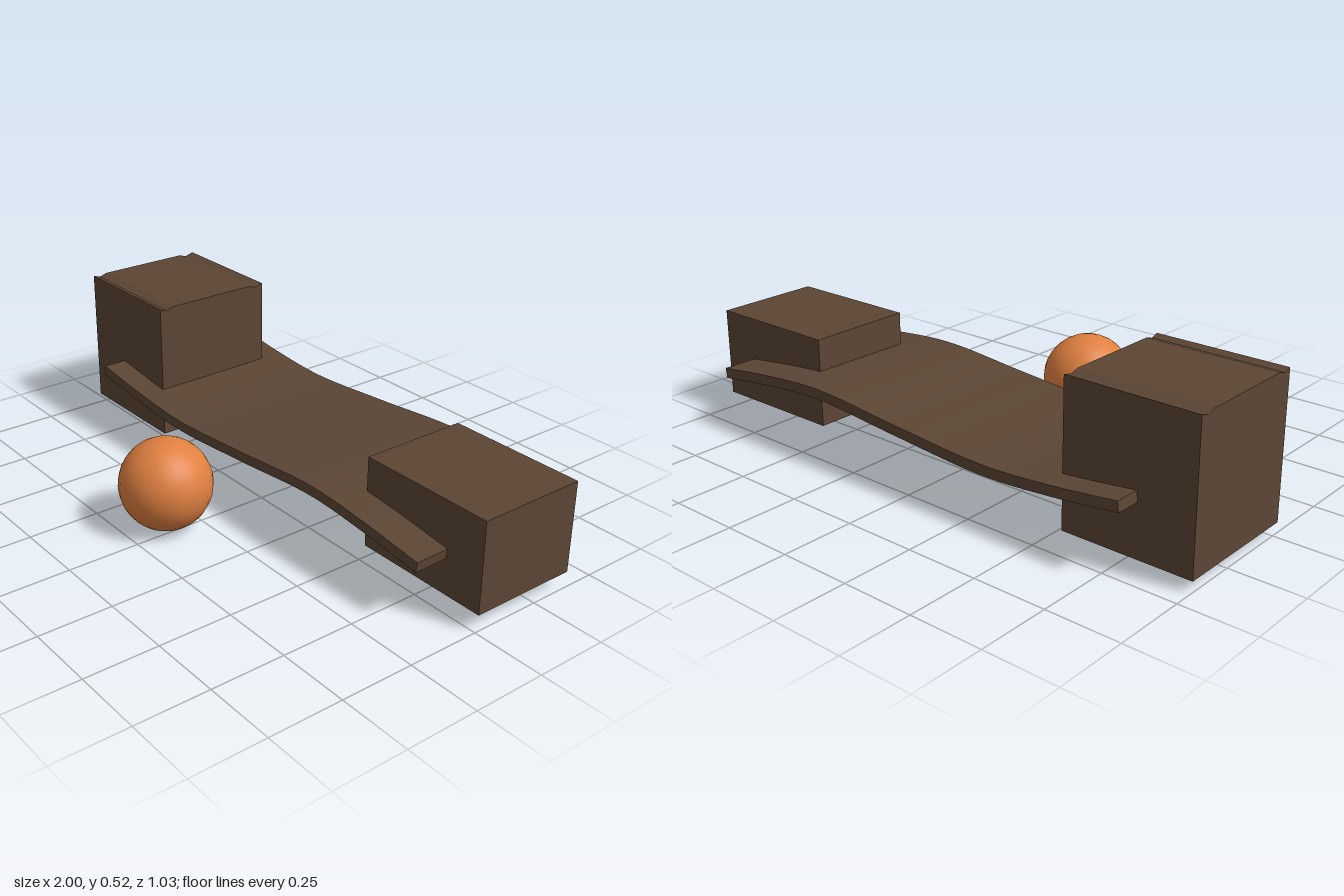
import * as THREE from 'three';

const wood = new THREE.MeshStandardMaterial({ color: 0x5c4635 });
wood.name = 'darkWood';
const orange = new THREE.MeshStandardMaterial({ color: 0xe08040 });
orange.name = 'orange';

function add(group, name, geometry, material, x = 0, y = 0, z = 0) {
  const mesh = new THREE.Mesh(geometry, material);
  mesh.name = name;
  mesh.position.set(x, y, z);
  group.add(mesh);
  return mesh;
}

// Box bent along an S-curve, ends cut square to the curve
function bentPlank() {
  const x0 = -0.81, x1 = 0.86, depth = 0.625, thick = 0.035;
  const curve = new THREE.CatmullRomCurve3([
    [x0, 0.224], [-0.57, 0.197], [-0.32, 0.183], [0.03, 0.207], [0.39, 0.236], [0.62, 0.222], [x1, 0.193],
  ].map(([x, y]) => new THREE.Vector3(x, y, 0)));
  const geo = new THREE.BoxGeometry(1, thick, depth, 40, 1, 1);
  const pos = geo.attributes.position;
  for (let i = 0; i < pos.count; i++) {
    const t = THREE.MathUtils.clamp(pos.getX(i) + 0.5, 0, 1);
    const p = curve.getPointAt(t), d = curve.getTangentAt(t);
    const h = pos.getY(i), z = pos.getZ(i);
    // the back edge sits slightly higher than the front
    const tilt = 0.013 * (depth / 2 - z);
    pos.setXYZ(i, p.x - d.y * h, p.y + d.x * h + tilt, z);
  }
  geo.computeVertexNormals();
  return geo;
}

// Block with two shallow grooves along its top, extruded along x
function groovedBlock(width) {
  const profile = new THREE.Shape([
    [-0.025, 0.037], [0.427, 0.037], [0.427, 0.523], [0.395, 0.514],
    [0.366, 0.523], [0.03, 0.523], [0, 0.514], [-0.025, 0.523],
  ].map(([x, y]) => new THREE.Vector2(x, y)));
  const geo = new THREE.ExtrudeGeometry(profile, { depth: width, bevelEnabled: false });
  return geo.rotateY(Math.PI / 2);
}

export function createModel() {
  const model = new THREE.Group();
  model.name = 'plankBetweenBlocks';

  add(model, 'tallBlock', groovedBlock(0.45), wood, -1);
  add(model, 'lowBlock', new THREE.BoxGeometry(0.486, 0.31, 0.38), wood, 0.757, 0.212, -0.2);
  add(model, 'bentPlank', bentPlank(), wood, 0, 0, -0.203);
  add(model, 'ball', new THREE.SphereGeometry(0.155, 24, 16), orange, -0.045, 0.157, 0.355);

  return model;
}
